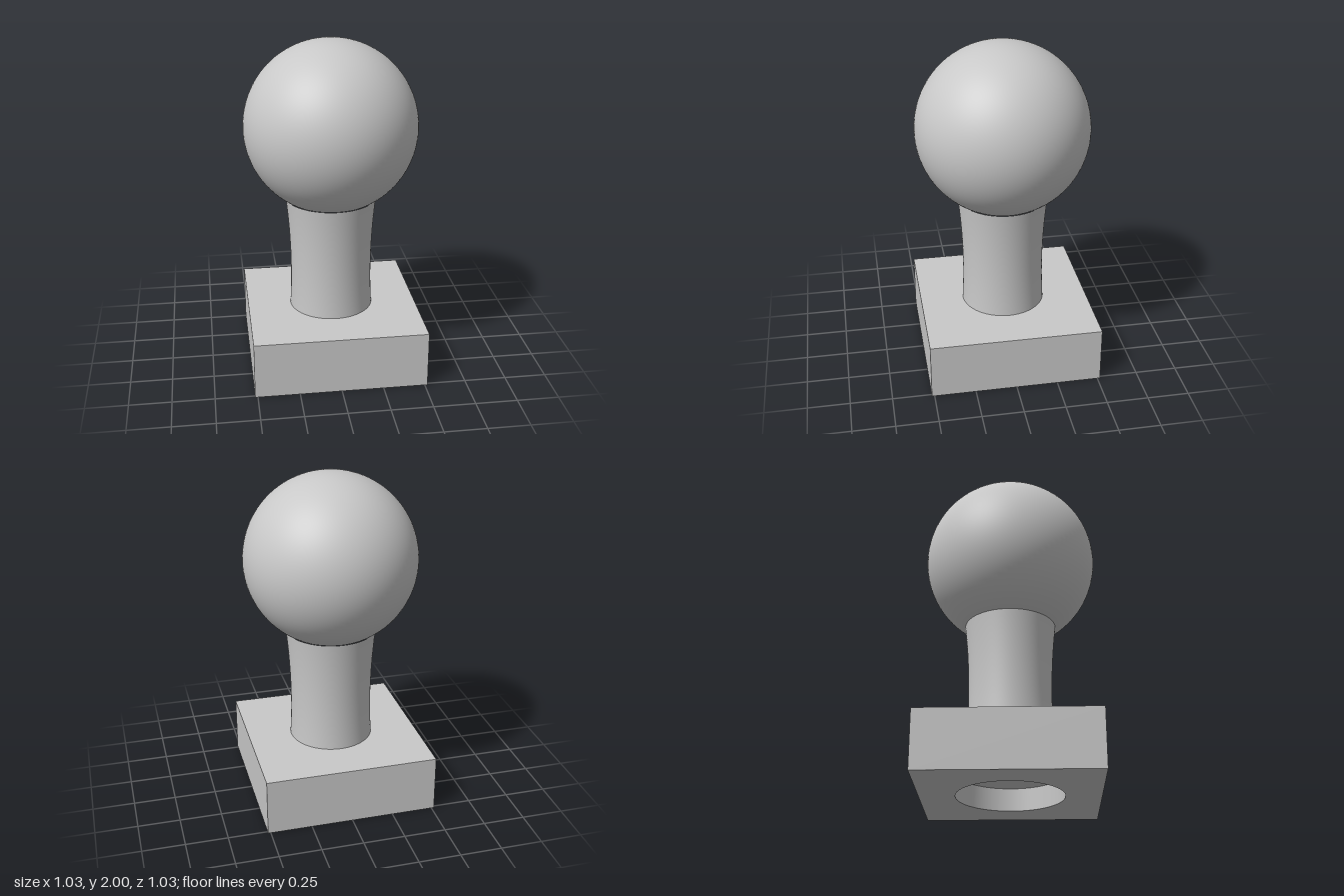
import * as THREE from 'three';

const HALF = 0.516, BASE_TOP = 0.344;
const POCKET_R = 0.31, POCKET_DEPTH = 0.135;
const BALL_R = 0.515, BALL_Y = 2 - BALL_R, NECK_Y = 1.045;

export function createModel() {
  const grey = new THREE.MeshStandardMaterial({ color: 0xc8c8c8 });
  grey.name = 'plain grey';
  const model = new THREE.Group();
  model.name = 'ballTopPost';

  const add = (name, geometry, parent = model) => {
    const mesh = new THREE.Mesh(geometry, grey);
    mesh.name = name;
    parent.add(mesh);
    return mesh;
  };

  const base = new THREE.Group();
  base.name = 'base';
  model.add(base);

  // Square block, with its bottom face left out for the pocketed underside
  const block = new THREE.BoxGeometry(2 * HALF, BASE_TOP, 2 * HALF);
  const index = Array.from(block.index.array);
  index.splice(18, 6);
  block.setIndex(index);
  block.clearGroups();
  add('baseBlock', block, base).position.y = BASE_TOP / 2;

  // Underside with a round opening
  const square = new THREE.Shape();
  square.moveTo(-HALF, -HALF).lineTo(HALF, -HALF).lineTo(HALF, HALF).lineTo(-HALF, HALF).closePath();
  square.holes.push(new THREE.Path().absarc(0, 0, POCKET_R, 0, Math.PI * 2, true));
  add('baseUnderside', new THREE.ShapeGeometry(square, 48).rotateX(Math.PI / 2), base);

  // Blind round pocket: the wall runs downward so it faces inward
  const wall = [new THREE.Vector2(POCKET_R, POCKET_DEPTH), new THREE.Vector2(POCKET_R, 0)];
  add('pocketWall', new THREE.LatheGeometry(wall, 96), base);
  add('pocketFloor', new THREE.CircleGeometry(POCKET_R, 96).rotateX(Math.PI / 2), base)
    .position.y = POCKET_DEPTH;

  // Slightly waisted stem, flaring towards the ball
  const profile = [];
  for (let i = 0; i <= 24; i++) {
    const y = BASE_TOP + (NECK_Y - BASE_TOP) * i / 24;
    profile.push(new THREE.Vector2(0.245 + 0.125 * (y - 0.585) ** 2, y));
  }
  add('stem', new THREE.LatheGeometry(profile, 96));

  // Ball, open where it meets the stem
  const cut = Math.acos((NECK_Y - BALL_Y) / BALL_R);
  add('ball', new THREE.SphereGeometry(BALL_R, 96, 48, 0, Math.PI * 2, 0, cut)).position.y = BALL_Y;

  return model;
}
